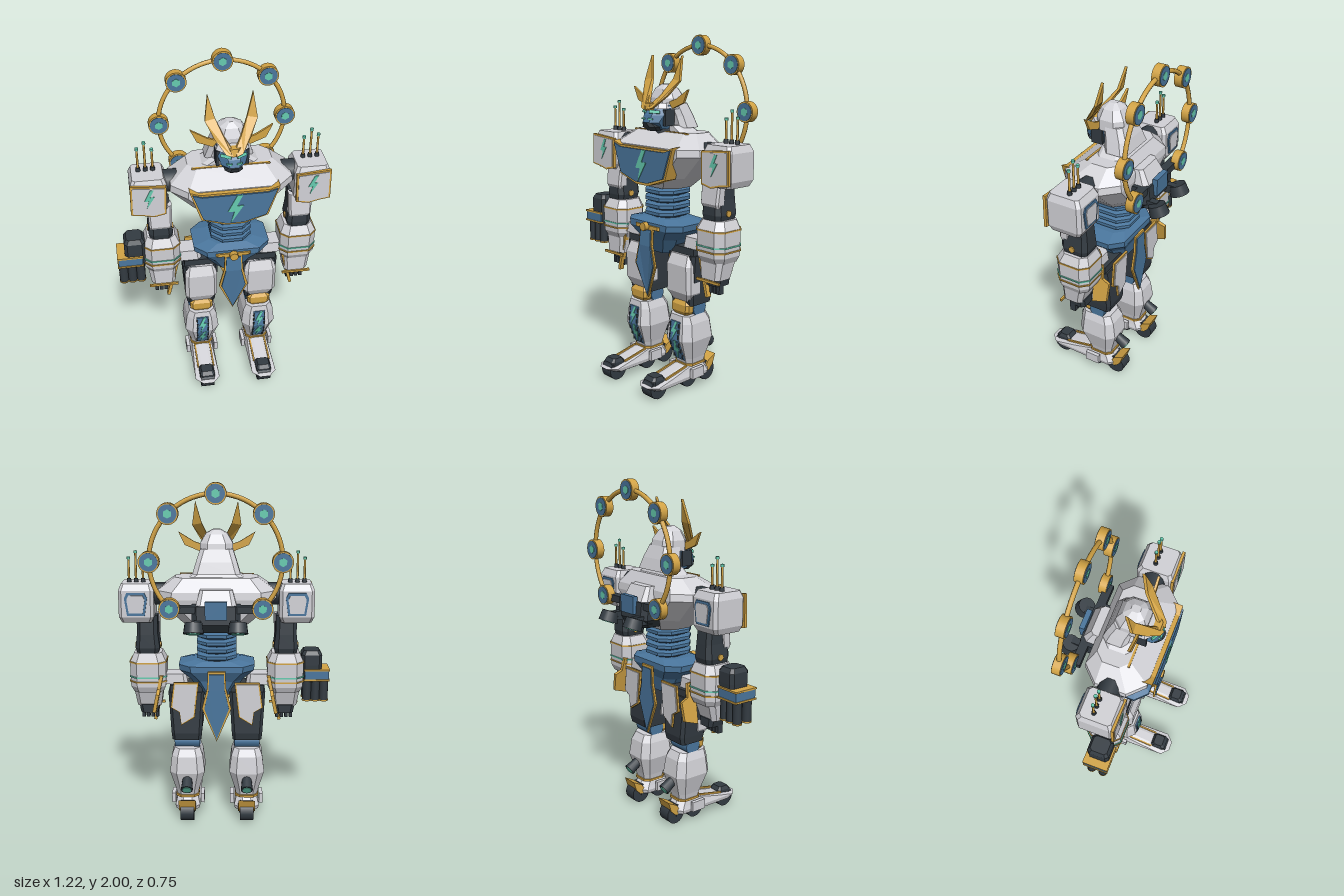
import * as THREE from 'three';

const mat = (name, hex) => Object.assign(new THREE.MeshStandardMaterial({ color: hex }), { name });

export function createModel() {
  const white = mat('armour white', 0xd2d2d7), gold = mat('gold', 0xd3a445), blue = mat('steel blue', 0x4a769d);
  const dark = mat('charcoal', 0x333b42), mint = mat('mint glow', 0x66ccb0);
  const model = new THREE.Group();
  model.name = 'robot';
  const body = new THREE.Group();
  body.name = 'body';
  body.position.x = 0.0525;
  model.add(body);

  const add = (name, geo, m, x = 0, y = 0, z = 0, parent = body) => {
    const mesh = new THREE.Mesh(geo, m);
    mesh.name = name;
    mesh.position.set(x, y, z);
    parent.add(mesh);
    return mesh;
  };
  const box = (w, h, d) => new THREE.BoxGeometry(w, h, d);
  const cyl = (r0, r1, h, n = 16) => new THREE.CylinderGeometry(r0, r1, h, n);

  // Faceted solid through chamfered sections, rows [y, halfWidth, zBack, zFront], lowest first
  const loft = (rows, k = 0.35) => {
    const rings = rows.map(([y, w, b, f]) => {
      const c = k * Math.min(w, (f - b) / 2);
      return [[w, f - c], [w - c, f], [c - w, f], [-w, f - c], [-w, b + c], [c - w, b], [w - c, b], [w, b + c]]
        .map(([x, z]) => [x, y, z]);
    });
    const p = [];
    for (let r = 0; r < rings.length - 1; r++) for (let i = 0; i < 8; i++) {
      const j = (i + 1) % 8, lo = rings[r], hi = rings[r + 1];
      p.push(...lo[i], ...hi[i], ...hi[j], ...lo[i], ...hi[j], ...lo[j]);
    }
    const top = rings[rings.length - 1], bottom = rings[0];
    for (let i = 1; i < 7; i++) {
      p.push(...top[0], ...top[i + 1], ...top[i]);
      p.push(...bottom[0], ...bottom[i], ...bottom[i + 1]);
    }
    const g = new THREE.BufferGeometry();
    g.setAttribute('position', new THREE.Float32BufferAttribute(p, 3));
    g.computeVertexNormals();
    return g;
  };

  // Flat plate from an outline, optionally pushed along z by a rule of height
  const plate = (pts, depth, rule) => {
    const shape = new THREE.Shape(pts.map(([x, y]) => new THREE.Vector2(x, y)));
    const g = new THREE.ExtrudeGeometry(shape, { depth, bevelEnabled: false });
    if (rule) {
      const a = g.attributes.position;
      for (let i = 0; i < a.count; i++) a.setZ(i, a.getZ(i) + rule(a.getY(i)));
      g.computeVertexNormals();
    }
    return g;
  };
  const inset = (pts, d) => {
    const xs = pts.map(p => p[0]), ys = pts.map(p => p[1]);
    const x0 = Math.min(...xs), x1 = Math.max(...xs), y0 = Math.min(...ys), y1 = Math.max(...ys);
    const cx = (x0 + x1) / 2, cy = (y0 + y1) / 2, kx = 1 - 2 * d / (x1 - x0), ky = 1 - 2 * d / (y1 - y0);
    return pts.map(([x, y]) => [cx + (x - cx) * kx, cy + (y - cy) * ky]);
  };
  const bolt = (w, h) => [[0.1, 0.5], [-0.42, -0.08], [-0.05, -0.08], [-0.25, -0.5], [0.45, 0.12], [0.08, 0.12], [0.4, 0.5]]
    .map(([x, y]) => [x * w, y * h]);
  const flip = (pts, s) => pts.map(([x, y]) => [x * s, y]);

  // Torso and chest
  add('torso', loft([[1.16, 0.13, -0.1, 0.12], [1.23, 0.21, -0.15, 0.165], [1.36, 0.34, -0.17, 0.185],
    [1.4, 0.335, -0.165, 0.185], [1.475, 0.235, -0.12, 0.07]], 0.5), white);
  add('collarTrim', box(0.43, 0.008, 0.012), gold, 0, 1.474, 0.066);
  add('collar', loft([[1.465, 0.17, -0.1, 0.05], [1.51, 0.1, -0.08, 0.05]]), white);
  const chest = [[-0.245, 1.415], [-0.19, 1.395], [0.19, 1.395], [0.245, 1.415], [0.185, 1.23], [0.05, 1.185], [-0.05, 1.185], [-0.185, 1.23]];
  add('chestFrame', plate(chest, 0.08), gold, 0, 0, 0.13);
  add('chestPanel', plate(inset(chest, 0.014), 0.01), blue, 0, 0, 0.209);
  add('chestBolt', plate(bolt(0.1, 0.18), 0.005), mint, 0, 1.293, 0.218);

  // Abdomen and pelvis
  add('spine', cyl(0.09, 0.09, 0.25, 8), dark, 0, 1.06, 0.01);
  for (let i = 0; i < 4; i++) {
    const y = 1.008 + i * 0.042;
    add('waistRing', loft([[y - 0.02, 0.085, -0.08, 0.1], [y - 0.006, 0.115, -0.11, 0.135],
      [y + 0.012, 0.115, -0.11, 0.135], [y + 0.02, 0.09, -0.085, 0.1]], 0.5), blue);
  }
  add('pelvis', loft([[0.78, 0.09, -0.08, 0.1], [0.87, 0.15, -0.1, 0.14], [0.93, 0.215, -0.13, 0.17], [0.965, 0.22, -0.13, 0.17],
    [0.985, 0.13, -0.09, 0.12]], 0.45), blue);
  add('belt', loft([[0.93, 0.1, 0.12, 0.18], [0.95, 0.1, 0.12, 0.18]]), gold);
  add('beltKnot', cyl(0.025, 0.025, 0.03, 8), gold, 0, 0.945, 0.195).rotation.x = Math.PI / 2;
  const cloth = [[-0.05, 0.94], [0.05, 0.94], [0.055, 0.84], [0.085, 0.72], [0, 0.52], [-0.085, 0.72], [-0.055, 0.84]];
  const drape = y => 0.2 - 0.4 * (y - 0.76) ** 2;
  add('frontClothTrim', plate(cloth, 0.012, y => drape(y) - 0.02), gold);
  add('frontCloth', plate(inset(cloth, 0.014), 0.008, y => drape(y) - 0.01), blue);
  add('backClothTrim', plate(cloth, 0.012, () => -0.146), gold);
  add('backCloth', plate(inset(cloth, 0.014), 0.008), blue, 0, 0, -0.152);

  // Head
  add('neck', cyl(0.06, 0.07, 0.1, 8), dark, 0, 1.5, 0.02);
  add('helmetDome', loft([[1.6, 0.095, -0.075, 0.1], [1.66, 0.092, -0.065, 0.1], [1.71, 0.062, -0.035, 0.08],
    [1.735, 0.02, 0, 0.05]], 0.5), white);
  add('neckGuard', loft([[1.495, 0.135, -0.12, 0.02], [1.56, 0.115, -0.1, 0.03], [1.63, 0.092, -0.07, 0.05]], 0.4), white);
  add('face', loft([[1.49, 0.05, 0, 0.13], [1.53, 0.065, 0, 0.18], [1.57, 0.08, 0, 0.165], [1.625, 0.085, 0, 0.12]], 0.6), blue);
  add('chinGuard', loft([[1.482, 0.035, 0.08, 0.15], [1.505, 0.05, 0.08, 0.178], [1.53, 0.03, 0.1, 0.19]], 0.5), dark);
  add('brow', loft([[1.605, 0.09, 0.03, 0.14], [1.635, 0.075, 0.03, 0.125]], 0.6), white);
  add('crestBase', loft([[1.595, 0.02, 0.1, 0.175], [1.635, 0.035, 0.1, 0.165]], 0.4), gold);

  // Halo of discs
  const haloR = 0.36, haloY = 1.585, haloZ = -0.25;
  add('haloRing', new THREE.TorusGeometry(haloR, 0.013, 8, 54, Math.PI * 1.5), gold, 0, haloY, haloZ).rotation.z = -Math.PI / 4;
  for (let i = 0; i < 7; i++) {
    const a = (i - 1) * Math.PI / 4, disc = new THREE.Group();
    disc.name = 'haloDisc';
    disc.position.set(haloR * Math.cos(a), haloY + haloR * Math.sin(a), haloZ);
    body.add(disc);
    for (const [n, r, h, m] of [['rim', 0.058, 0.046, gold], ['face', 0.05, 0.052, blue], ['glow', 0.024, 0.056, mint]])
      add(n, cyl(r, r, h, n === 'glow' ? 6 : 20), m, 0, 0, 0, disc).rotation.x = Math.PI / 2;
  }

  // Backpack
  add('backpack', loft([[1.19, 0.1, -0.23, -0.1], [1.24, 0.135, -0.265, -0.1], [1.34, 0.135, -0.255, -0.1]]), dark);
  add('backpackCover', loft([[1.33, 0.115, -0.25, -0.1], [1.42, 0.09, -0.2, -0.1]]), white);
  add('backpackPanel', box(0.12, 0.1, 0.03), blue, 0, 1.32, -0.265);

  for (const s of [1, -1]) {
    // Horns, side crests, eyes and cheeks
    add('horn', plate(flip([[0.01, 1.6], [0.01, 1.63], [0.045, 1.68], [0.085, 1.765], [0.12, 1.89], [0.14, 1.755], [0.098, 1.675], [0.045, 1.61]], s),
      0.016, y => 0.01 + 1.9 * (1.89 - y) ** 2), gold);
    add('sideCrest', plate(flip([[0.07, 1.64], [0.13, 1.66], [0.22, 1.715], [0.185, 1.64], [0.1, 1.605]], s), 0.014), gold, 0, 0, 0.06);
    const eye = add('eye', box(0.06, 0.017, 0.009), mint, s * 0.042, 1.588, 0.152);
    eye.rotation.set(-0.4, s * 0.5, s * 0.2);
    add('cheek', box(0.018, 0.09, 0.07), dark, s * 0.08, 1.555, 0.08);
    add('maskLine', box(0.03, 0.008, 0.009), mint, s * 0.028, 1.55, 0.172).rotation.y = s * 0.3;

    // Thrusters and halo mounts
    const jet = new THREE.Group();
    jet.name = 'thruster';
    jet.position.set(s * 0.12, 1.235, -0.32);
    jet.rotation.x = 0.35;
    body.add(jet);
    add('nozzle', cyl(0.048, 0.056, 0.06), dark, 0, 0, 0, jet);
    add('nozzleGlow', cyl(0.038, 0.038, 0.006), mint, 0, -0.031, 0, jet);
    add('thrusterArm', box(0.04, 0.05, 0.12), dark, s * 0.1, 1.24, -0.25);
    add('haloMount', box(0.15, 0.04, 0.05), dark, s * 0.18, 1.32, -0.225);

    // Shoulder
    add('shoulderJoint', cyl(0.065, 0.065, 0.14, 10), dark, s * 0.34, 1.37, 0).rotation.z = Math.PI / 2;
    const X = s * 0.455;
    add('shoulder', loft([[1.215, 0.085, -0.085, 0.09], [1.25, 0.1, -0.105, 0.105], [1.4, 0.1, -0.105, 0.105],
      [1.438, 0.085, -0.085, 0.09]], 0.18), white, X);
    const pad = flip([[-0.095, 1.405], [0.1, 1.42], [0.105, 1.235], [0.04, 1.225], [-0.02, 1.21], [-0.09, 1.225]], s);
    add('shoulderFrame', plate(pad, 0.016), gold, X, 0, 0.098);
    add('shoulderPlate', plate(inset(pad, 0.011), 0.008), white, X, 0, 0.11);
    add('shoulderBolt', plate(bolt(0.065, 0.12), 0.004), mint, X, 1.333, 0.117);
    const rear = [[-0.05, 1.39], [0.05, 1.39], [0.065, 1.36], [0.05, 1.26], [-0.05, 1.26], [-0.065, 1.36]];
    add('shoulderRearFrame', plate(rear, 0.009), blue, X, 0, -0.112);
    add('shoulderRearPlate', plate(inset(rear, 0.014), 0.009), white, X, 0, -0.116);
    for (const [x, top] of [[0.42, 1.565], [0.46, 1.61], [0.5, 1.575]]) {
      add('antennaBase', cyl(0.012, 0.014, 0.03, 8), dark, s * x, 1.445, -0.015);
      add('antenna', cyl(0.006, 0.007, top - 1.43, 8), gold, s * x, (top + 1.43) / 2, -0.015);
      add('antennaTip', cyl(0.01, 0.01, 0.014, 8), mint, s * x, top, -0.015);
    }

    // Arm
    const A = s * 0.4;
    add('upperArm', loft([[1.0, 0.055, -0.06, 0.08], [1.06, 0.07, -0.075, 0.09], [1.14, 0.06, -0.07, 0.085], [1.25, 0.06, -0.06, 0.06]]), dark, A);
    add('upperArmPlate', loft([[1.1, 0.06, 0.03, 0.085], [1.12, 0.064, 0.03, 0.095], [1.25, 0.068, 0.02, 0.08]]), white, A);
    add('elbowCap', cyl(0.018, 0.018, 0.15, 12), gold, A, 1.065, 0.01).rotation.z = Math.PI / 2;
    add('forearm', loft([[0.795, 0.085, -0.075, 0.09], [0.83, 0.102, -0.09, 0.11], [0.975, 0.105, -0.093, 0.115],
      [1.03, 0.08, -0.075, 0.085]], 0.4), white, A);
    for (const [y, m] of [[0.86, gold], [0.888, mint], [0.975, gold]])
      add('forearmBand', loft([[y - 0.004, 0.108, -0.096, 0.117], [y + 0.004, 0.108, -0.096, 0.117]], 0.4), m, A);
    add('wrist', loft([[0.7, 0.07, -0.03, 0.09], [0.8, 0.085, -0.06, 0.09]]), white, A);
    add('wristTrim', box(0.17, 0.014, 0.012), gold, A, 0.69, 0.09);
    add('hand', loft([[0.66, 0.05, -0.04, 0.065], [0.71, 0.06, -0.04, 0.07]]), dark, A);
    for (let i = 0; i < 4; i++) add('finger', box(0.02, 0.07, 0.035), dark, A + (i - 1.5) * 0.027, 0.65, 0.035);
    add('sideBlade', box(0.018, 0.27, 0.03), gold, s * 0.342, 0.72, 0.06).rotation.z = s * 0.24;
    const fin = plate([[0.04, 0.9], [0.09, 0.9], [0.1, 0.82], [0.145, 0.8], [0.14, 0.69], [0.05, 0.66]], 0.02);
    fin.rotateY(Math.PI / 2).translate(0, -0.78, 0);
    add('rearFin', fin, gold, s * 0.335, 0.78, 0).rotation.z = s * 0.2;

    // Hip and thigh
    const L = s * 0.178;
    add('hipBlock', loft([[0.84, 0.075, -0.05, 0.07], [0.9, 0.065, -0.045, 0.06]]), white, s * 0.245);
    add('hipJoint', box(0.19, 0.07, 0.15), dark, L, 0.805, 0);
    add('thigh', loft([[0.505, 0.085, -0.085, 0.075], [0.55, 0.09, -0.095, 0.085], [0.8, 0.105, -0.085, 0.085]], 0.2), dark, L);
    add('thighPlate', loft([[0.53, 0.07, 0, 0.085], [0.58, 0.096, 0, 0.11], [0.74, 0.095, 0, 0.115], [0.8, 0.08, 0, 0.09]], 0.35), white, L);
    const skirt = flip([[-0.075, 0.87], [0.07, 0.87], [0.09, 0.72], [0.04, 0.69], [0.03, 0.61], [-0.05, 0.66]], s);
    add('rearSkirtTrim', plate(skirt, 0.012), gold, L, 0, -0.122);
    add('rearSkirt', plate(inset(skirt, 0.01), 0.01), white, L, 0, -0.128);

    // Knee and shin
    add('kneeJoint', cyl(0.05, 0.05, 0.15, 12), blue, L, 0.48, 0).rotation.z = Math.PI / 2;
    add('kneeCap', loft([[0.435, 0.045, 0.02, 0.08], [0.465, 0.068, 0.02, 0.095], [0.505, 0.07, 0.02, 0.095], [0.535, 0.045, 0.02, 0.075]], 0.4), gold, L);
    add('shin', loft([[0.14, 0.062, -0.07, 0.068], [0.18, 0.07, -0.08, 0.08], [0.3, 0.104, -0.115, 0.128], [0.4, 0.092, -0.1, 0.117],
      [0.445, 0.075, -0.075, 0.11]], 0.4), white, L);
    const shinZ = y => y > 0.3 ? 0.128 - (y - 0.3) * 0.11 : 0.128 - (0.3 - y) * 0.4;
    for (const [lo, hi] of [[0.17, 0.3], [0.3, 0.41]]) {
      add('shinPanel', plate([[-0.036, lo], [0.036, lo], [0.036, hi], [-0.036, hi]], 0.008, y => shinZ(y)), blue, L);
      add('shinBolt', plate(bolt(0.055, hi - lo).map(([x, y]) => [x, y + (lo + hi) / 2]), 0.005, y => shinZ(y) + 0.006), mint, L);
      for (const e of [1, -1]) for (const t of [0.2, 0.5, 0.8]) {
        const y = lo + (hi - lo) * t;
        add('shinVent', box(0.008, 0.024, 0.009), dark, L + e * 0.033, y, shinZ(y) + 0.007);
      }
    }
    const calf = new THREE.Group();
    calf.name = 'calfThruster';
    calf.position.set(L, 0.24, -0.125);
    calf.rotation.x = 1.0;
    body.add(calf);
    add('calfNozzle', cyl(0.028, 0.036, 0.08, 12), dark, 0, 0, 0, calf);
    add('calfGlow', cyl(0.026, 0.026, 0.006, 12), mint, 0, -0.041, 0, calf);

    // Foot with wheels
    add('ankleTrim', loft([[0.135, 0.07, -0.08, 0.078], [0.148, 0.07, -0.08, 0.078]], 0.4), gold, L);
    add('foot', loft([[0.06, 0.07, -0.11, 0.33], [0.082, 0.075, -0.115, 0.365], [0.105, 0.068, -0.1, 0.23], [0.14, 0.06, -0.075, 0.075]], 0.6), white, L);
    add('footSole', box(0.09, 0.02, 0.38), dark, L, 0.055, 0.09);
    add('toeCover', loft([[0.06, 0.046, 0.23, 0.335], [0.11, 0.046, 0.235, 0.33], [0.13, 0.035, 0.25, 0.31]], 0.3), dark, L);
    for (const z of [0.285, 0.045, -0.1]) add('wheel', cyl(0.06, 0.06, 0.08, 18), dark, L, 0.06, z).rotation.z = Math.PI / 2;
    for (const e of [1, -1]) {
      add('ankleGuard', box(0.022, 0.06, 0.09), white, L + e * 0.088, 0.1, 0.03);
      add('footTrim', box(0.01, 0.01, 0.17), gold, L + e * 0.048, 0.122, 0.16).rotation.x = 0.2;
    }
    const spur = plate([[0.06, 0.06], [0.1, 0.12], [0.16, 0.15], [0.14, 0.09], [0.11, 0.06]], 0.1);
    add('heelSpur', spur.rotateY(Math.PI / 2), gold, L - 0.05);
  }

  // Arm cannon on the right forearm
  const gun = new THREE.Group();
  gun.name = 'armCannon';
  gun.position.set(-0.585, 0, 0.03);
  body.add(gun);
  add('cannonBody', loft([[0.85, 0.055, -0.06, 0.06], [0.95, 0.06, -0.065, 0.065], [1.01, 0.06, -0.065, 0.065], [1.035, 0.045, -0.05, 0.05]], 0.3), dark, 0.03, 0, 0, gun);
  add('cannonBand', box(0.14, 0.06, 0.14), blue, 0, 0.89, 0, gun);
  for (const y of [0.862, 0.921]) add('cannonTrim', box(0.15, 0.01, 0.15), gold, 0, y, 0, gun);
  for (const x of [-0.045, 0.005, 0.055]) for (const z of [-0.035, 0.035]) {
    add('barrel', cyl(0.026, 0.026, 0.13, 12), dark, x, 0.8, z, gun);
    add('barrelRim', cyl(0.028, 0.028, 0.008, 12), gold, x, 0.734, z, gun);
    add('barrelGlow', cyl(0.016, 0.016, 0.006, 12), mint, x, 0.729, z, gun);
  }
  return model;
}
